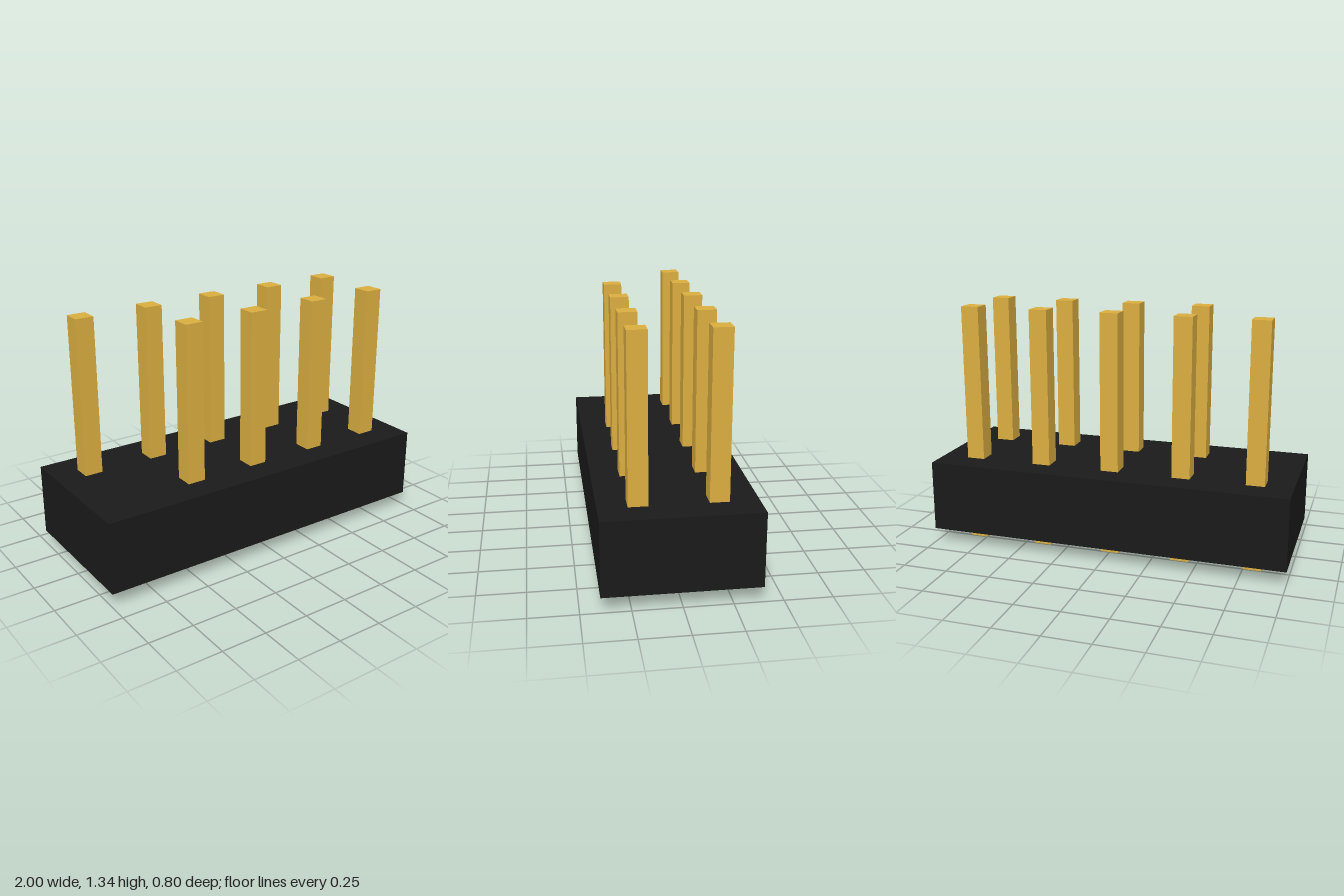
import * as THREE from 'three';

const PITCH = 0.4;
const BASE_BOTTOM = 0.08, BASE_TOP = 0.474;
const PIN_WIDTH = 0.1, PIN_HEIGHT = 1.34;

export function createModel() {
  const model = new THREE.Group();
  model.name = 'pinHeader';

  const plastic = new THREE.MeshStandardMaterial({ color: 0x1a1a1a });
  const gold = new THREE.MeshStandardMaterial({ color: 0xdaae40 });

  // Insulating block
  const baseHeight = BASE_TOP - BASE_BOTTOM;
  const base = new THREE.Mesh(new THREE.BoxGeometry(2, baseHeight, 0.8), plastic);
  base.name = 'base';
  base.position.y = BASE_BOTTOM + baseHeight / 2;
  model.add(base);

  // Two rows of five square pins, with the front right corner pin left out as a key
  const pins = new THREE.Group();
  pins.name = 'pins';
  const pinGeometry = new THREE.BoxGeometry(PIN_WIDTH, PIN_HEIGHT, PIN_WIDTH);
  for (let row = 0; row < 2; row++) {
    for (let column = 0; column < 5; column++) {
      if (row === 1 && column === 0) continue;
      const pin = new THREE.Mesh(pinGeometry, gold);
      pin.name = 'pin';
      pin.position.set((column - 2) * PITCH, PIN_HEIGHT / 2, (row - 0.5) * PITCH);
      pins.add(pin);
    }
  }
  model.add(pins);

  return model;
}
